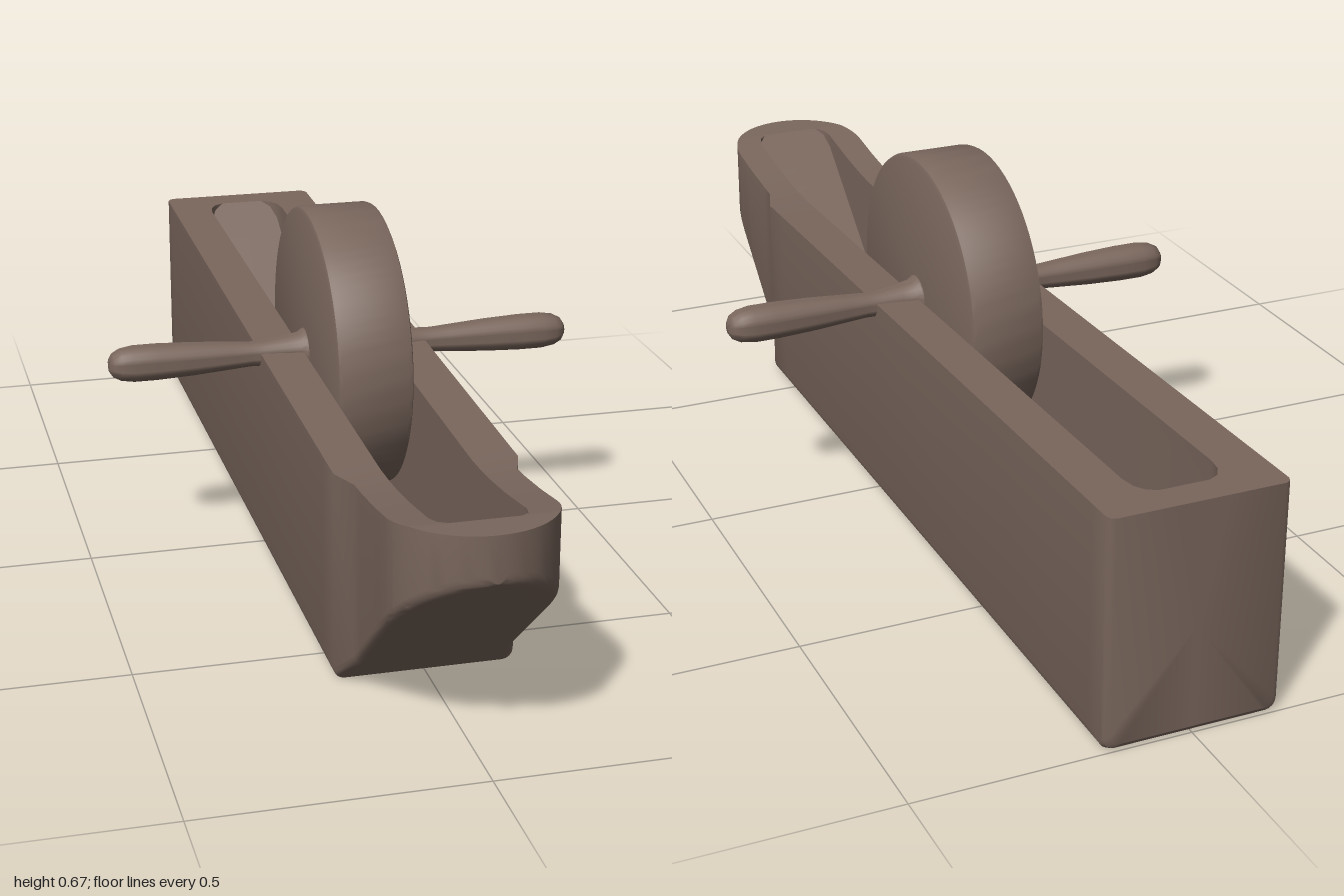
import * as THREE from 'three';
import { toCreasedNormals } from 'three/addons/utils/BufferGeometryUtils.js';

// Piecewise-linear lookup through [z, value] pairs
function along(pairs, z) {
  if (z <= pairs[0][0]) return pairs[0][1];
  for (let i = 1; i < pairs.length; i++) {
    const [z0, v0] = pairs[i - 1], [z1, v1] = pairs[i];
    if (z <= z1) return v0 + (v1 - v0) * (z - z0) / (z1 - z0);
  }
  return pairs[pairs.length - 1][1];
}

const RIM = [[-1, 0.428], [0.6, 0.385], [0.68, 0.388], [0.78, 0.4], [0.86, 0.413], [0.93, 0.425], [1, 0.428]];
const KEEL = [[-1, 0.012], [-0.995, 0.004], [-0.985, 0], [0.6, 0], [1, 0.345]];
const SIDE = [[-1, 0.15], [-0.995, 0.159], [-0.985, 0.163], [0.6, 0.163], [0.66, 0.142]];
const SLOT = [[-0.94, 0.045], [-0.93, 0.064], [-0.91, 0.076], [-0.88, 0.081], [0.89, 0.081], [0.915, 0.075], [0.93, 0.06]];
const FLOOR = [[-0.94, 0.426], [-0.63, 0.08], [0.52, 0.08], [0.93, 0.425]];
const NOSE = 0.142;

// One closed cross-section of the trough at depth z
function section(z) {
  const top = along(RIM, z), keel = along(KEEL, z);
  const d = Math.max(0, z - (1 - NOSE));
  const w = d > 0 ? Math.sqrt(Math.max(0, NOSE * NOSE - d * d)) : along(SIDE, z);
  const s = Math.min(along(SLOT, z), w * 0.6);
  const floor = z <= -0.94 || z >= 0.93 ? top : Math.min(top, along(FLOOR, z));
  const r = Math.min(0.02, w);
  const half = [[0, keel]];
  for (let k = 0; k <= 4; k++) {
    const a = k * Math.PI / 8;
    half.push([w - r + r * Math.sin(a), keel + r - r * Math.cos(a)]);
  }
  half.push([w, top], [s, top], [s, floor], [0, floor]);
  const mirrored = half.slice(1, -1).reverse().map(([x, y]) => [-x, y]);
  return [...half, ...mirrored].map(([x, y]) => [x, y, z]);
}

function troughGeometry() {
  const stations = [-1, -0.995, -0.985, -0.94, -0.93, -0.91, -0.88, -0.63, 0, 0.52, 0.6, 0.66, 0.7, 0.74, 0.78, 0.82];
  for (let k = 0; k <= 14; k++) stations.push(1 - NOSE + NOSE * Math.sin(k * Math.PI / 28));
  stations.push(0.89, 0.915, 0.93);
  stations.sort((a, b) => a - b);
  const rings = stations.map(section);
  const n = rings[0].length, pos = [];
  const tri = (...corners) => corners.forEach(p => pos.push(...p));
  for (let i = 0; i < rings.length - 1; i++) {
    for (let j = 0; j < n; j++) {
      const k = (j + 1) % n;
      tri(rings[i][j], rings[i][k], rings[i + 1][k]);
      tri(rings[i][j], rings[i + 1][k], rings[i + 1][j]);
    }
  }
  // Flat back end
  for (let j = 0; j < n; j++) tri([0, 0.2, -1], rings[0][(j + 1) % n], rings[0][j]);
  const g = new THREE.BufferGeometry();
  g.setAttribute('position', new THREE.Float32BufferAttribute(pos, 3));
  return toCreasedNormals(g, 0.55);
}

// Solid turned about the x axis from a half profile of [x, radius], mirrored to both sides
function turned(half, segments) {
  const full = [...half.map(([x, r]) => [-x, r]).reverse(), ...half];
  const g = new THREE.LatheGeometry(full.map(([x, r]) => new THREE.Vector2(r, x)), segments);
  g.rotateZ(-Math.PI / 2);
  return toCreasedNormals(g, 0.6);
}

export function createModel() {
  const model = new THREE.Group();
  model.name = 'grindingBoat';
  const wood = new THREE.MeshStandardMaterial({ color: 0x7a675d });
  wood.name = 'brown wood';

  const add = (name, geometry, y = 0) => {
    const mesh = new THREE.Mesh(geometry, wood);
    mesh.name = name;
    mesh.position.y = y;
    model.add(mesh);
  };

  add('trough', troughGeometry());

  // Grinding wheel with eased edges
  add('wheel', turned([[0.062, 0.273], [0.069, 0.27], [0.072, 0.263], [0.072, 0]], 72), 0.398);

  // Axle with a hub, a neck and a swelling grip on each side
  add('axleHandles', turned([
    [0.06, 0.042], [0.074, 0.042], [0.085, 0.035], [0.11, 0.031], [0.15, 0.025], [0.18, 0.024], [0.22, 0.027],
    [0.29, 0.032], [0.36, 0.035], [0.405, 0.035], [0.43, 0.031], [0.445, 0.023], [0.452, 0.012], [0.453, 0],
  ], 24), 0.394);

  return model;
}
